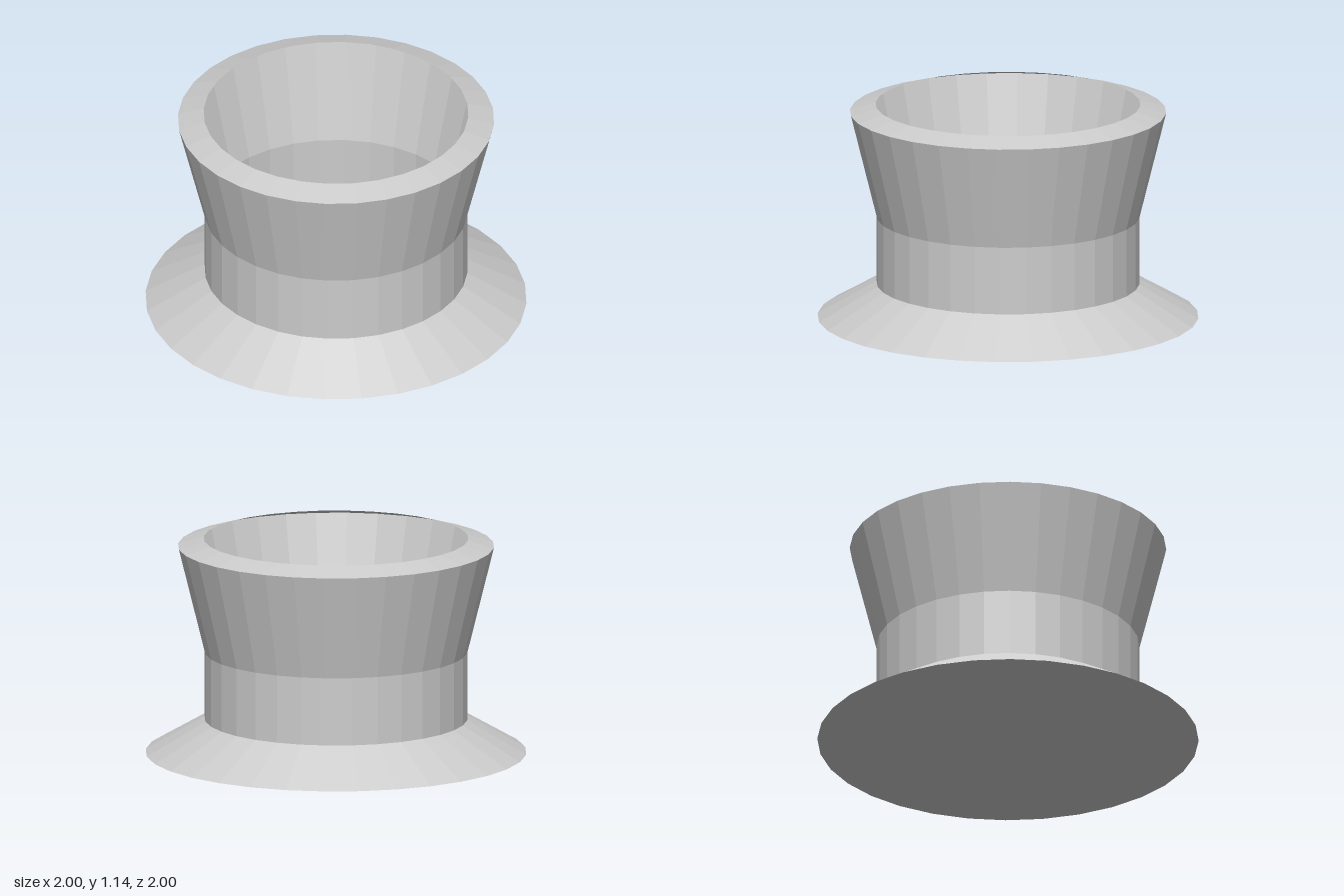
import * as THREE from 'three';

const SIDES = 32;

export function createModel() {
  const group = new THREE.Group();
  group.name = 'flaredCup';
  const material = new THREE.MeshStandardMaterial({
    color: 0xcccccc, flatShading: true, side: THREE.DoubleSide,
  });

  // Each part is a thin turned band given as [radius, height] points, bottom to top
  const addBand = (name, points) => {
    const profile = points.map(([r, y]) => new THREE.Vector2(r, y));
    const mesh = new THREE.Mesh(new THREE.LatheGeometry(profile, SIDES), material);
    mesh.name = name;
    group.add(mesh);
  };

  addBand('footFlange', [[1, 0], [0.69, 0.18]]);
  addBand('neck', [[0.69, 0.18], [0.69, 0.54]]);
  addBand('flaredWall', [[0.69, 0.54], [0.83, 1.105]]);
  addBand('rim', [[0.83, 1.105], [0.695, 1.145]]);

  // Closed underside, also the floor seen through the opening
  const base = new THREE.Mesh(new THREE.CircleGeometry(1, SIDES), material);
  base.name = 'base';
  base.rotation.x = Math.PI / 2;
  group.add(base);

  return group;
}
